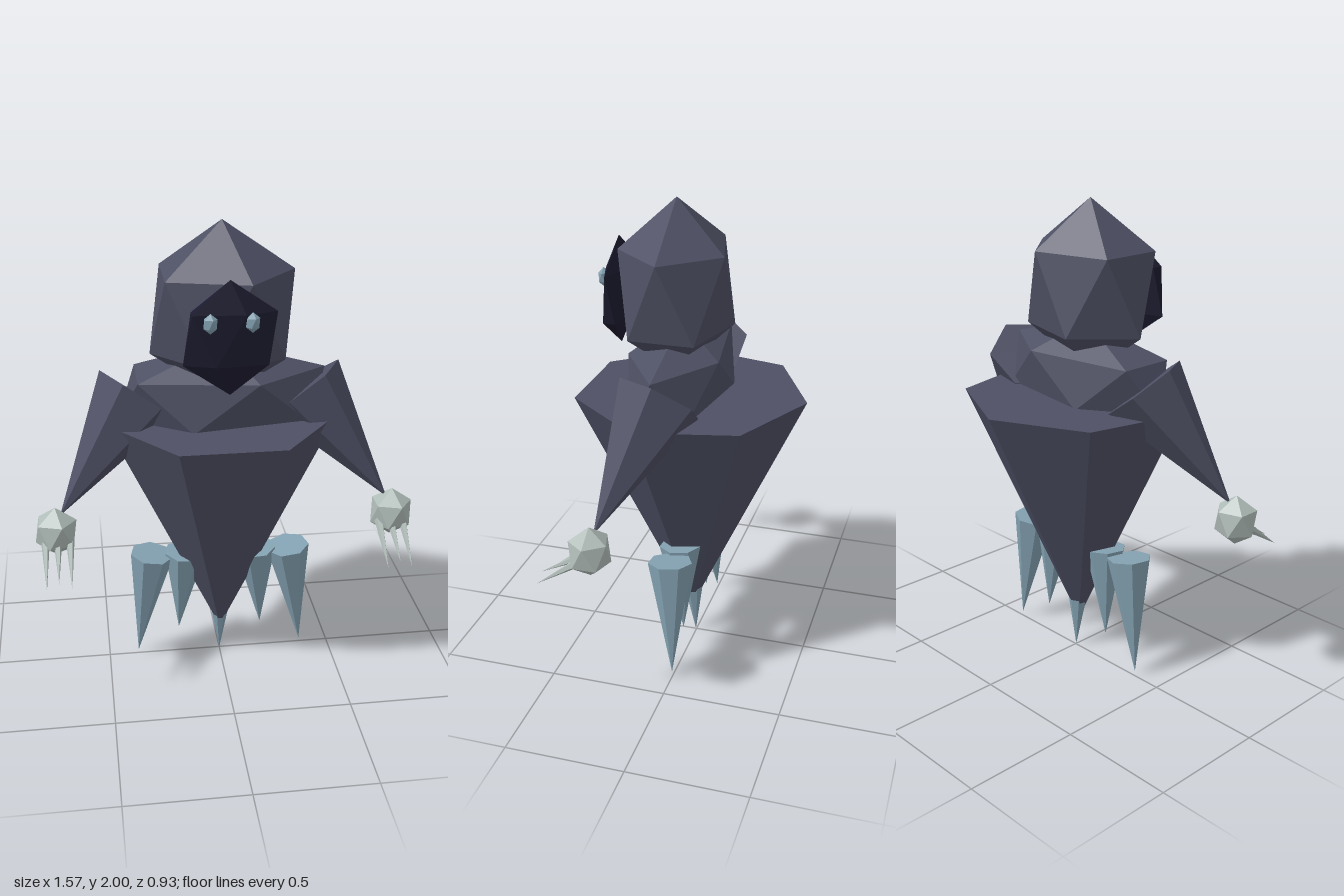
import * as THREE from 'three';
import { ConvexGeometry } from 'three/addons/geometries/ConvexGeometry.js';

const mat = (name, color) => {
  const m = new THREE.MeshStandardMaterial({ color });
  m.name = name;
  return m;
};

// Twenty-sided ball standing on a point, with a ring vertex towards +x
function facetedBall() {
  const pts = [new THREE.Vector3(0, 1, 0), new THREE.Vector3(0, -1, 0)];
  for (let k = 0; k < 5; k++) {
    const a = (k * Math.PI * 2) / 5;
    const p = new THREE.Vector3(0.894 * Math.cos(a), 0.447, 0.894 * Math.sin(a));
    pts.push(p, p.clone().negate());
  }
  return new ConvexGeometry(pts);
}

export function createModel() {
  const model = new THREE.Group();
  model.name = 'hoodedSpectre';
  const cloak = mat('cloak', 0x4e5064);
  const shadow = mat('faceShadow', 0x1b1a2e);
  const bone = mat('bone', 0xb0bcb8);
  const ice = mat('ice', 0x84a2b2);
  const ballGeometry = facetedBall();

  const add = (name, geometry, material) => {
    const mesh = new THREE.Mesh(geometry, material);
    mesh.name = name;
    model.add(mesh);
    return mesh;
  };

  const ball = (name, material, pos, size) => {
    const mesh = add(name, ballGeometry, material);
    mesh.position.set(...pos);
    mesh.scale.set(...size);
  };

  // Flat-sided spike from the centre of its base to its tip
  const spike = (name, material, base, tip, radius, sides, turn = 0) => {
    const from = new THREE.Vector3(...base);
    const dir = new THREE.Vector3(...tip).sub(from);
    const h = dir.length();
    const g = new THREE.ConeGeometry(radius, h, sides, 1, false, turn)
      .rotateX(Math.PI).translate(0, -h / 2, 0).toNonIndexed();
    g.computeVertexNormals();
    const mesh = add(name, g, material);
    mesh.quaternion.setFromUnitVectors(new THREE.Vector3(0, -1, 0), dir.normalize());
    mesh.position.copy(from);
  };

  // Cloaked body, shoulders, hood and dark face
  spike('body', cloak, [0, 1.19, 0.02], [0, 0.13, 0.02], 0.49, 7);
  ball('shoulders', cloak, [0, 1.28, 0.06], [0.48, 0.22, 0.224]);
  ball('hood', cloak, [0, 1.635, 0.08], [0.325, 0.367, 0.259]);
  ball('face', shadow, [0, 1.604, 0.325], [0.203, 0.228, 0.047]);

  for (const s of [1, -1]) {
    const side = s > 0 ? 'left' : 'right';
    ball(side + 'Eye', ice, [s * 0.08, 1.677, 0.365], [0.03, 0.04, 0.023]);

    // Sleeve, hand and three claws
    spike(side + 'Arm', cloak, [s * 0.345, 1.29, 0.05], [s * 0.68, 0.84, 0.215], 0.18, 6, Math.PI / 2);
    ball(side + 'Hand', bone, [s * 0.7, 0.775, 0.225], [0.095, 0.106, 0.092]);
    for (let i = -1; i <= 1; i++) {
      const x = s * 0.695 + i * 0.05;
      spike(side + 'Claw', bone, [x, 0.75, 0.25], [x, i ? 0.62 : 0.645, 0.435], 0.019, 5);
    }

    // Hanging ice spikes beside the body
    spike(side + 'OuterIcicle', ice, [s * 0.3, 0.53, 0.028], [s * 0.37, 0.02, 0.003], 0.095, 7);
    spike(side + 'InnerIcicle', ice, [s * 0.155, 0.53, 0.028], [s * 0.185, 0.13, 0.006], 0.09, 7);
  }
  spike('centreIcicle', ice, [0, 0.53, 0.028], [0, 0, 0.003], 0.095, 7);

  return model;
}
